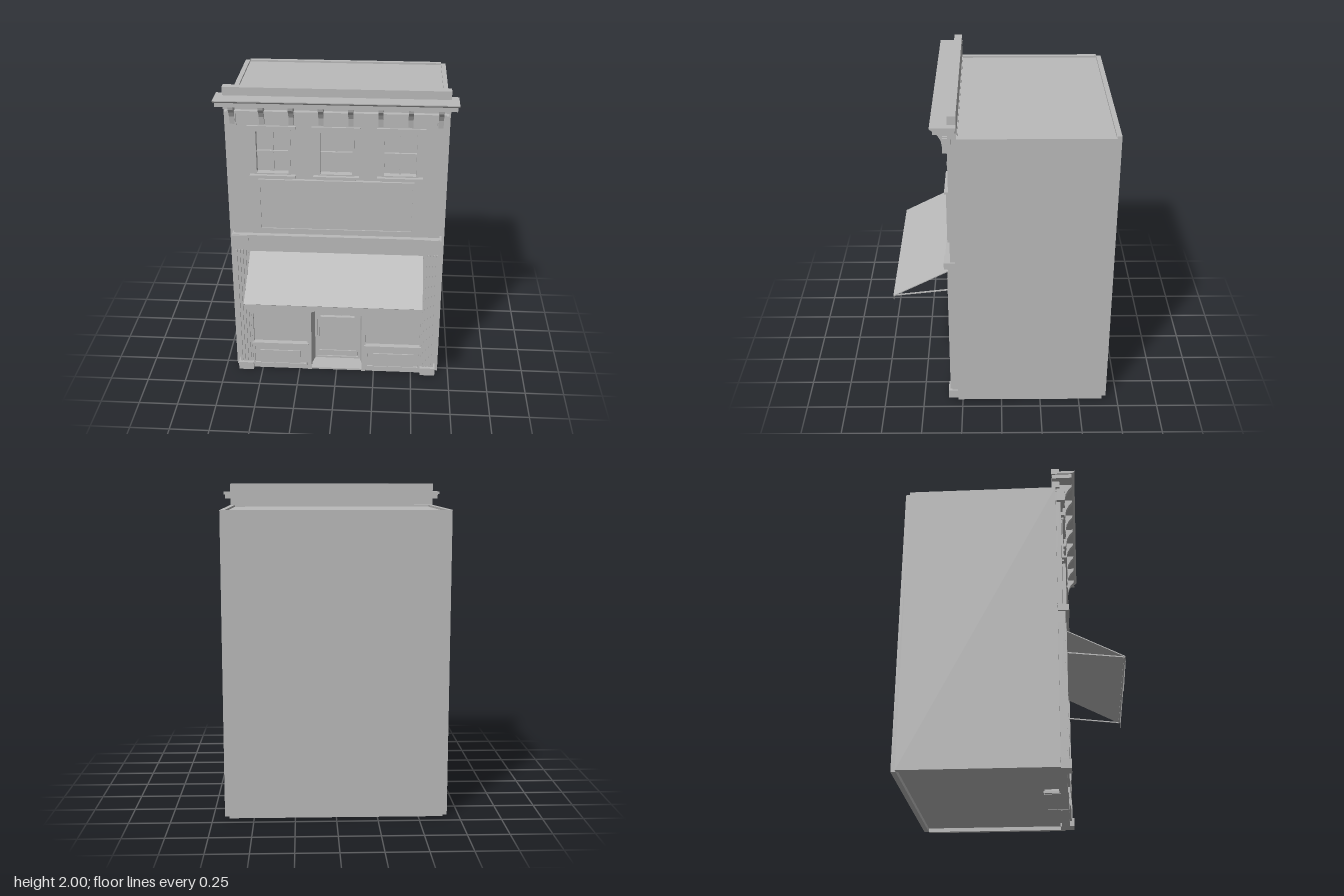
import * as THREE from 'three';

const plaster = new THREE.MeshStandardMaterial({ color: 0xbababa, side: THREE.DoubleSide });
plaster.name = 'plain grey';

function add(parent, name, geo) {
  const mesh = new THREE.Mesh(geo, plaster);
  mesh.name = name;
  parent.add(mesh);
  return mesh;
}

// Box given by its limits on each axis
function box(parent, name, x0, x1, y0, y1, z0, z1) {
  const mesh = add(parent, name, new THREE.BoxGeometry(x1 - x0, y1 - y0, z1 - z0));
  mesh.position.set((x0 + x1) / 2, (y0 + y1) / 2, (z0 + z1) / 2);
  return mesh;
}

function rect(x0, x1, y0, y1, Type = THREE.Shape) {
  return new Type([[x0, y0], [x1, y0], [x1, y1], [x0, y1]].map(p => new THREE.Vector2(...p)));
}

// Wall or frame facing +z, with rectangular holes
function panel(parent, name, outer, holes, z0, z1) {
  const shape = rect(...outer);
  holes.forEach(h => shape.holes.push(rect(...h, THREE.Path)));
  const geo = new THREE.ExtrudeGeometry(shape, { depth: z1 - z0, bevelEnabled: false });
  geo.translate(0, 0, z0);
  return add(parent, name, geo);
}

function frame(parent, name, x0, x1, y0, y1, w, z0, z1) {
  return panel(parent, name, [x0, x1, y0, y1], [[x0 + w, x1 - w, y0 + w, y1 - w]], z0, z1);
}

// Side profile of [z, y] points, swept along x
function sweep(parent, name, points, x0, x1) {
  const shape = new THREE.Shape(points.map(([z, y]) => new THREE.Vector2(-z, y)));
  const geo = new THREE.ExtrudeGeometry(shape, { depth: x1 - x0, bevelEnabled: false });
  geo.rotateY(Math.PI / 2);
  // the shape's x axis now runs along -z, so its -z input ends up as z
  geo.translate(x0, 0, 0);
  return add(parent, name, geo);
}

function group(parent, name) {
  const g = new THREE.Group();
  g.name = name;
  parent.add(g);
  return g;
}

const windowCentres = [-0.39, 0, 0.39];

function buildShell(root) {
  const g = group(root, 'shell');
  for (const s of [-1, 1]) {
    const x = s * 0.665;
    box(g, 'sideWall', x - 0.015, x + 0.015, 0, 1.86, -0.65, 0.28);
  }
  box(g, 'backWall', -0.65, 0.65, 0, 1.86, -0.68, -0.65);
  box(g, 'roof', -0.65, 0.65, 1.82, 1.848, -0.65, 0.26);
  box(g, 'floor', -0.65, 0.65, 0.025, 0.04, -0.65, 0.17);
  for (const s of [-1, 1]) {
    const x = s * 0.42;
    box(g, 'frontFloor', x - 0.23, x + 0.23, 0.025, 0.04, 0.17, 0.28);
  }
  const holes = windowCentres.map(x => [x - 0.11, x + 0.11, 1.44, 1.735]);
  panel(g, 'upperFrontWall', [-0.65, 0.65, 0.9, 1.86], holes, 0.25, 0.31);
  box(g, 'parapet', -0.68, 0.68, 1.86, 2, 0.255, 0.305);
}

function buildUpperWindow(root, x) {
  const g = group(root, 'upperWindow');
  box(g, 'pane', -0.11, 0.11, 1.44, 1.735, 0.255, 0.275);
  frame(g, 'windowFrame', -0.112, 0.112, 1.44, 1.74, 0.014, 0.27, 0.318);
  box(g, 'muntin', -0.006, 0.006, 1.45, 1.73, 0.27, 0.287);
  box(g, 'meetingRail', -0.1, 0.1, 1.58, 1.592, 0.27, 0.292);
  box(g, 'sill', -0.14, 0.14, 1.43, 1.446, 0.27, 0.34);
  box(g, 'underSill', -0.12, 0.12, 1.417, 1.43, 0.3, 0.322);
  box(g, 'lowerLintel', -0.115, 0.115, 1.728, 1.745, 0.29, 0.325);
  box(g, 'lintel', -0.147, 0.147, 1.743, 1.768, 0.29, 0.333);
  g.position.x = x;
}

function buildCornice(root) {
  const g = group(root, 'cornice');
  box(g, 'friezeBand', -0.65, 0.65, 1.765, 1.85, 0.29, 0.32);
  box(g, 'friezeMoulding', -0.655, 0.655, 1.845, 1.862, 0.28, 0.335);
  for (const s of [-1, 1]) {
    box(g, 'friezeEnd', s * 0.635 - 0.035, s * 0.635 + 0.035, 1.768, 1.857, 0.285, 0.335);
  }
  box(g, 'corniceBed', -0.715, 0.715, 1.903, 1.93, 0.26, 0.385);
  sweep(g, 'corniceCrown', [[0.255, 1.93], [0.388, 1.93], [0.402, 1.942], [0.402, 1.948],
    [0.255, 1.948]], -0.725, 0.725);
  // Curved brackets
  const profile = [[0.305, 1.905], [0.385, 1.905], [0.38, 1.885], [0.36, 1.862],
    [0.343, 1.83], [0.335, 1.78], [0.305, 1.775]];
  for (let i = 0; i < 8; i++) {
    const x = -0.623 + i * 0.178;
    sweep(g, 'bracket', profile, x - 0.015, x + 0.015);
  }
}

function buildSign(root) {
  const g = group(root, 'signBoard');
  box(g, 'signPanel', -0.475, 0.475, 1.075, 1.41, 0.3, 0.324);
  frame(g, 'signFrame', -0.48, 0.48, 1.07, 1.415, 0.01, 0.3, 0.332);
}

function buildShopfront(root) {
  const g = group(root, 'shopfront');
  // Fascia with its ledge
  box(g, 'fascia', -0.65, 0.65, 0.915, 1.01, 0.28, 0.325);
  box(g, 'ledge', -0.655, 0.655, 1.01, 1.032, 0.28, 0.342);
  box(g, 'headRail', -0.57, 0.57, 0.895, 0.918, 0.27, 0.322);
  for (const s of [-1, 1]) {
    const side = group(g, s > 0 ? 'leftBay' : 'rightBay');
    // Bounds are ordered for either side of the centre
    const part = (name, a, b, ...rest) => box(side, name, Math.min(s * a, s * b), Math.max(s * a, s * b), ...rest);
    part('ledgeEnd', 0.555, 0.662, 0.99, 1.03, 0.28, 0.348);
    part('pilaster', 0.565, 0.65, 0, 0.92, 0.25, 0.32);
    for (let i = 0; i < 4; i++) {
      const x = 0.577 + i * 0.019;
      part('flute', x, x + 0.011, 0.06, 0.915, 0.315, 0.33);
    }
    part('pilasterBase', 0.56, 0.66, 0, 0.055, 0.28, 0.342);
    // Display window
    part('displayGlass', 0.19, 0.565, 0.2, 0.9, 0.28, 0.295);
    part('outerStile', 0.553, 0.567, 0.2, 0.9, 0.28, 0.318);
    part('innerStile', 0.168, 0.195, 0, 0.9, 0.27, 0.318);
    part('windowSill', 0.185, 0.565, 0.192, 0.21, 0.28, 0.33);
    // Panelled bulkhead
    part('bulkhead', 0.19, 0.565, 0, 0.195, 0.26, 0.312);
    const x0 = s > 0 ? 0.195 : -0.56;
    frame(side, 'bulkheadFrame', x0, x0 + 0.365, 0.035, 0.19, 0.012, 0.305, 0.325);
    part('bulkheadPanel', 0.245, 0.515, 0.045, 0.145, 0.305, 0.32);
    // Splayed wall of the entrance
    const wall = add(side, 'entranceWall', new THREE.BoxGeometry(0.012, 0.9, 0.125));
    wall.position.set(s * 0.17, 0.45, 0.24);
    wall.rotation.y = s * 0.24;
  }
}

function buildEntrance(root) {
  const g = group(root, 'entrance');
  box(g, 'step', -0.185, 0.185, 0.003, 0.015, 0.17, 0.315);
  box(g, 'entranceCeiling', -0.19, 0.19, 0.89, 0.9, 0.17, 0.3);
  box(g, 'door', -0.16, 0.16, 0, 0.9, 0.165, 0.18);
  frame(g, 'doorFrame', -0.157, 0.157, 0.01, 0.9, 0.018, 0.175, 0.195);
  box(g, 'transomRail', -0.14, 0.14, 0.66, 0.685, 0.175, 0.195);
  frame(g, 'doorStiles', -0.138, 0.138, 0.015, 0.66, 0.012, 0.175, 0.188);
  box(g, 'kickPlate', -0.126, 0.126, 0.025, 0.07, 0.175, 0.187);
  box(g, 'pushBar', -0.115, 0.115, 0.338, 0.35, 0.178, 0.204);
}

function buildAwning(root) {
  const g = group(root, 'awning');
  const canopy = [[0.325, 0.903], [0.673, 0.722], [0.676, 0.727], [0.325, 0.909]];
  sweep(g, 'canopy', canopy, -0.55, 0.55);
  // Scalloped valance
  const shape = new THREE.Shape();
  shape.moveTo(-0.55, 0.726);
  const steps = 80;
  for (let i = 0; i <= steps; i++) {
    const t = i / steps;
    shape.lineTo(-0.55 + 1.1 * t, 0.677 + (0.016 - 0.008 * t) * Math.cos(t * Math.PI * 20));
  }
  shape.lineTo(0.55, 0.726);
  const valance = add(g, 'valance', new THREE.ShapeGeometry(shape));
  valance.position.z = 0.675;
  // Supporting arms and front rail
  const arm = [[0.31, 0.761], [0.672, 0.72], [0.672, 0.727], [0.31, 0.769]];
  for (const x of [-0.545, 0.538]) sweep(g, 'awningArm', arm, x, x + 0.007);
  box(g, 'frontRail', -0.545, 0.545, 0.72, 0.727, 0.665, 0.673);
}

export function createModel() {
  const root = new THREE.Group();
  root.name = 'shopBuilding';
  buildShell(root);
  windowCentres.forEach(x => buildUpperWindow(root, x));
  buildCornice(root);
  buildSign(root);
  buildShopfront(root);
  buildEntrance(root);
  buildAwning(root);
  return root;
}
